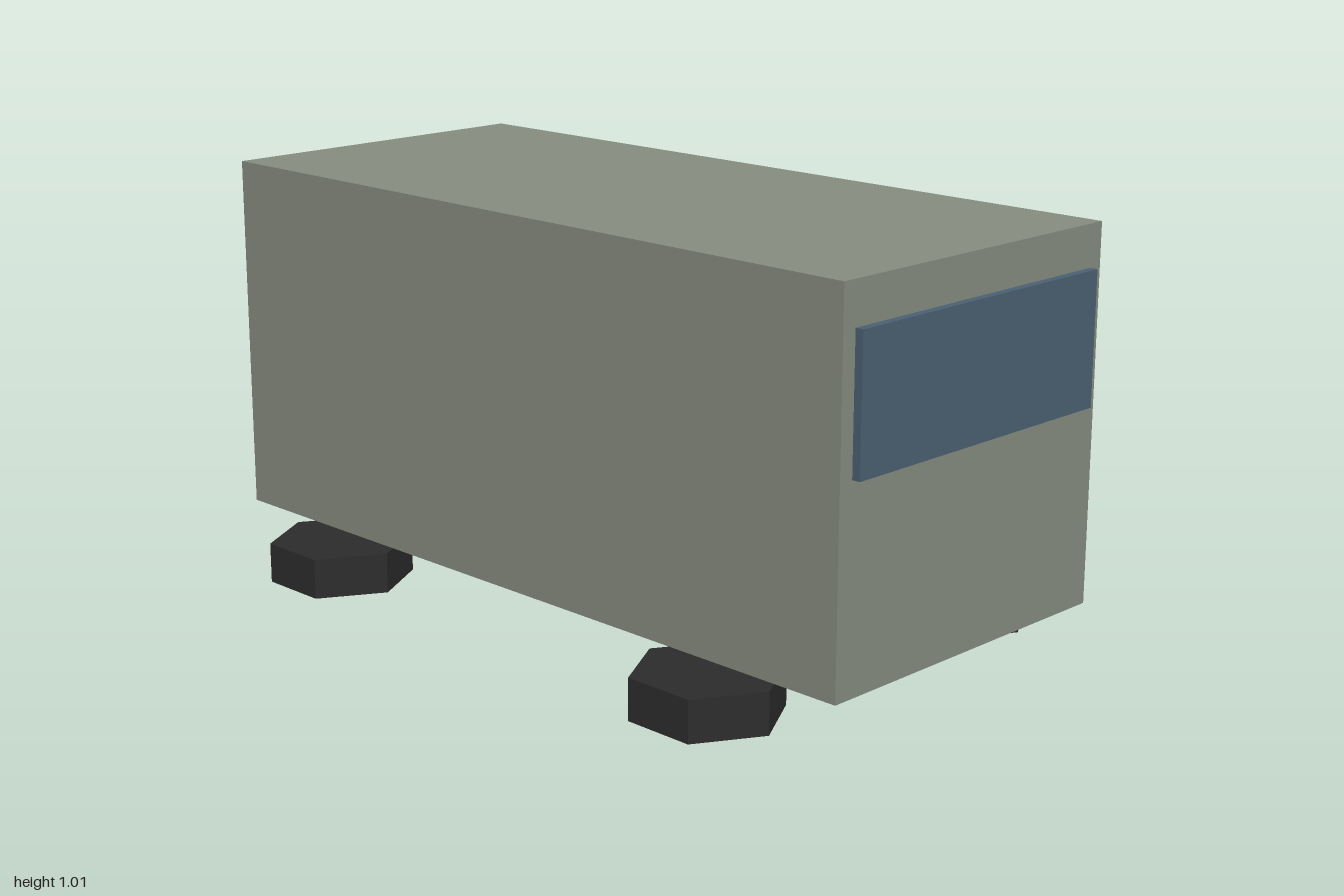
import * as THREE from 'three';

export function createModel() {
  const model = new THREE.Group();
  model.name = 'van';

  const bodyPaint = new THREE.MeshStandardMaterial({ color: 0x868c7f });
  bodyPaint.name = 'sage paint';
  const glass = new THREE.MeshStandardMaterial({ color: 0x4a6072 });
  glass.name = 'blue glass';
  const rubber = new THREE.MeshStandardMaterial({
    color: 0x2c2c2c, flatShading: true, side: THREE.DoubleSide,
  });
  rubber.name = 'black rubber';

  const addMesh = (parent, name, geometry, material, x, y, z) => {
    const mesh = new THREE.Mesh(geometry, material);
    mesh.name = name;
    mesh.position.set(x, y, z);
    parent.add(mesh);
  };

  // Box body and the window plate on its +x end
  addMesh(model, 'body', new THREE.BoxGeometry(1.98, 0.89, 0.87), bodyPaint, -0.01, 0.565, 0);
  addMesh(model, 'windshield', new THREE.BoxGeometry(0.02, 0.315, 0.795), glass, 0.99, 0.753, 0);

  // Six-sided wheels lying flat: a wall and a top, open underneath
  const radius = 0.178, height = 0.1;
  const wall = new THREE.CylinderGeometry(radius, radius, height, 6, 1, true, Math.PI / 2);
  const cap = new THREE.CircleGeometry(radius, 6).rotateX(-Math.PI / 2);
  for (const x of [-0.645, 0.622]) {
    for (const z of [-0.436, 0.436]) {
      const wheel = new THREE.Group();
      wheel.name = 'wheel';
      wheel.position.set(x, 0, z);
      addMesh(wheel, 'wheelWall', wall, rubber, 0, height / 2, 0);
      addMesh(wheel, 'wheelTop', cap, rubber, 0, height, 0);
      model.add(wheel);
    }
  }

  return model;
}
